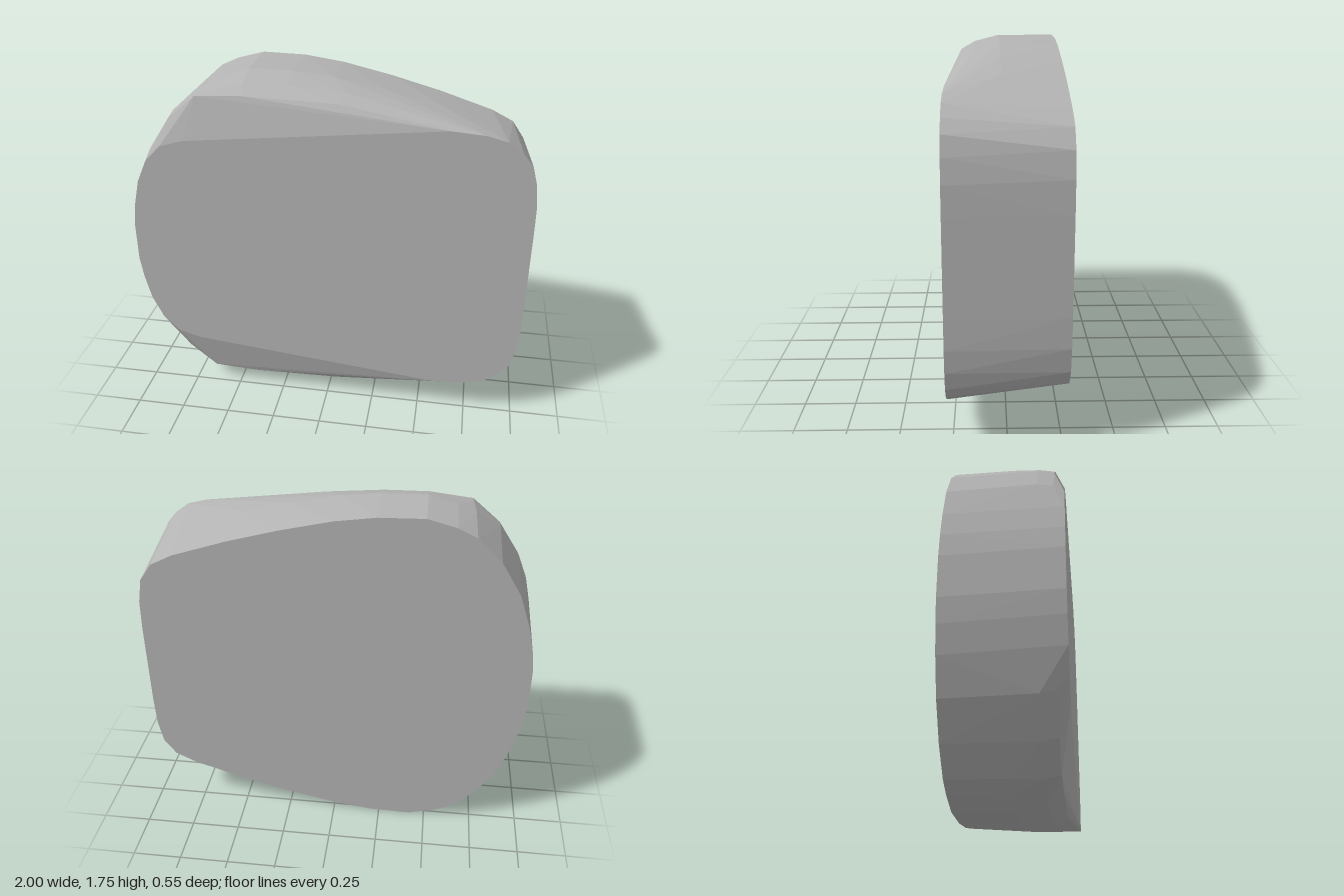
import * as THREE from 'three';
import { ConvexGeometry } from 'three/addons/geometries/ConvexGeometry.js';

const MID = 0.8775; // height of the mirror plane

// Upper half outlines [x, y] at each depth; the lower half is mirrored.
const sections = [
  { z: 0.275, outline: [ // flat front face
    [-1, 0.98], [-0.985, 1.09], [-0.955, 1.22], [-0.9, 1.34], [-0.82, 1.42], [-0.7, 1.455],
    [0.58, 1.587], [0.74, 1.575], [0.84, 1.55], [0.91, 1.5], [0.96, 1.44], [0.985, 1.35], [0.998, 1.24], [1, 1.1]] },
  { z: 0.225, outline: [ // sharp rim above the front bevel
    [-0.89, 1.385], [-0.78, 1.55], [-0.64, 1.668], [-0.41, 1.68], [0.05, 1.668]] },
  { z: 0.15, outline: [ // shoulder
    [-0.89, 1.4], [-0.78, 1.565], [-0.64, 1.683], [-0.42, 1.722], [-0.2, 1.72], [0.08, 1.698], [0.3, 1.66]] },
  { z: 0.02, outline: [ // fullest section
    [-0.65, 1.68], [-0.56, 1.717], [-0.42, 1.755], [-0.2, 1.752], [0, 1.732], [0.25, 1.685], [0.5, 1.628]] },
  { z: -0.275, outline: [ // flat back face
    [-0.975, 0.98], [-0.96, 1.1], [-0.93, 1.23], [-0.87, 1.4], [-0.77, 1.56], [-0.65, 1.675], [-0.56, 1.717],
    [-0.42, 1.755], [-0.2, 1.75], [0, 1.722], [0.25, 1.665], [0.5, 1.597], [0.77, 1.51], [0.88, 1.455],
    [0.94, 1.37], [0.962, 1.25], [0.967, 1.1]] },
];

export function createModel() {
  const grey = new THREE.MeshStandardMaterial({ color: 0xb4b4b4 });
  grey.name = 'grey';

  // Skin the sections, with both halves, as one faceted block
  const points = [];
  for (const { z, outline } of sections) {
    for (const [x, y] of outline) {
      points.push(new THREE.Vector3(x, y, z), new THREE.Vector3(x, 2 * MID - y, z));
    }
  }
  const body = new THREE.Mesh(new ConvexGeometry(points), grey);
  body.name = 'body';

  const group = new THREE.Group();
  group.name = 'roundedBlock';
  group.add(body);
  return group;
}
